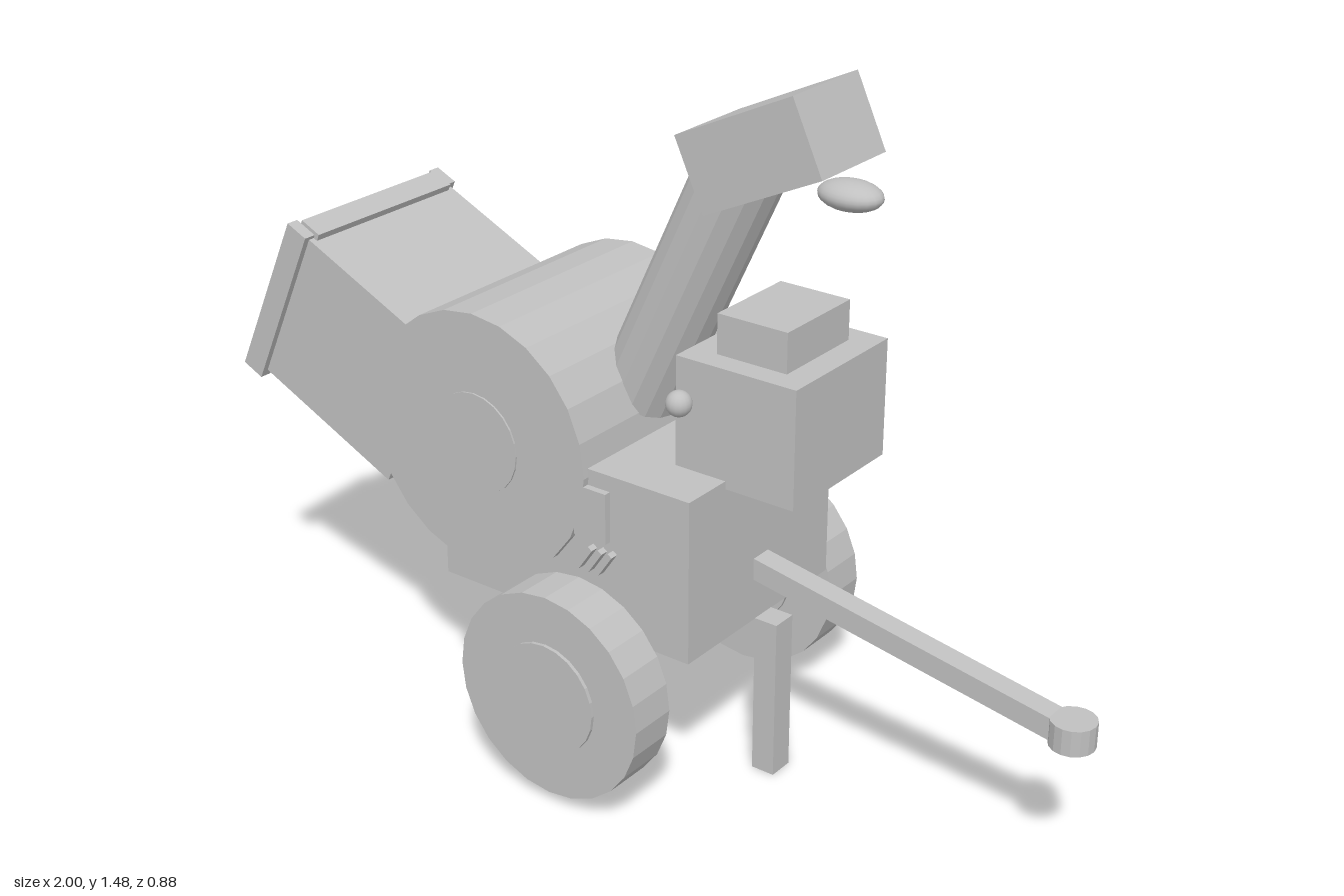
import * as THREE from 'three';

export function createModel() {
  const grey = new THREE.MeshStandardMaterial({ color: 0xc0c0c0 });
  grey.name = 'plain grey';
  const model = new THREE.Group();
  model.name = 'woodChipper';
  const V = -0.01; // centre plane of the machine
  const TILT = THREE.MathUtils.degToRad(25);

  const add = (name, geometry, pos, parent = model) => {
    const mesh = new THREE.Mesh(geometry, grey);
    mesh.name = name;
    mesh.position.set(...pos);
    parent.add(mesh);
    return mesh;
  };
  // box given by its lower and upper corners
  const box = (name, a, b, parent) => add(name,
    new THREE.BoxGeometry(b[0] - a[0], b[1] - a[1], b[2] - a[2]),
    [0, 1, 2].map(i => (a[i] + b[i]) / 2), parent);
  // faceted cylinder; axle = true lays it across the machine
  const cylinder = (name, r, h, pos, axle, sides = 24) => {
    const g = new THREE.CylinderGeometry(r, r, h, sides).toNonIndexed();
    g.computeVertexNormals();
    if (axle) g.rotateX(Math.PI / 2);
    return add(name, g, pos);
  };

  // body and chipping drum
  box('body', [-0.38, 0.34, V - 0.245], [0.253, 0.695, V + 0.245]);
  cylinder('drum', 0.282, 0.52, [-0.275, 0.677, V], true);
  cylinder('drumHub', 0.11, 0.528, [-0.275, 0.677, V], true);

  // wheels
  for (const side of [-1, 1]) {
    cylinder('wheel', 0.225, 0.107, [0.014, 0.25, V + side * 0.341], true);
    cylinder('wheelHub', 0.12, 0.122, [0.014, 0.25, V + side * 0.341], true);
  }

  // engine with its cap and knob
  box('engine', [0.132, 0.678, -0.202], [0.412, 0.93, 0.117]);
  box('engineCap', [0.192, 0.93, -0.149], [0.355, 1.015, 0.065]);
  add('knob', new THREE.SphereGeometry(0.027, 16, 12), [0.153, 0.84, 0.135]);

  // discharge chute, hood and deflector handle
  const low = new THREE.Vector2(-0.05, 0.767), high = new THREE.Vector2(0.2, 1.3);
  const chute = cylinder('chute', 0.088, low.distanceTo(high),
    [(low.x + high.x) / 2, (low.y + high.y) / 2, V], false, 16);
  chute.rotation.z = -Math.atan2(high.x - low.x, high.y - low.y);
  const hood = add('hood', new THREE.BoxGeometry(0.29, 0.16, 0.213), [0.276, 1.351, V]);
  hood.rotation.z = TILT;
  const handle = add('deflectorHandle', new THREE.SphereGeometry(1, 20, 14), [0.439, 1.286, -0.004]);
  handle.scale.set(0.067, 0.029, 0.048);

  // tilted feed hopper with raised rim bars
  const hopper = new THREE.Group();
  hopper.name = 'feedHopper';
  hopper.position.set(-0.665, 0.742, V);
  hopper.rotation.z = -TILT;
  model.add(hopper);
  box('hopperBox', [-0.2, -0.187, -0.22], [0.195, 0.187, 0.22], hopper);
  box('hopperPanel', [-0.206, -0.165, -0.175], [-0.199, 0.15, 0.175], hopper);
  for (const side of [-1, 1]) {
    const z = side * 0.22;
    box('rimSide', [-0.25, -0.203, z - 0.014], [-0.195, 0.195, z + 0.014], hopper);
  }
  box('rimTop', [-0.238, 0.17, -0.206], [-0.185, 0.203, 0.206], hopper);

  // tow bar, hitch and support leg
  const start = new THREE.Vector2(0.24, 0.46), end = new THREE.Vector2(0.955, 0.336);
  const bar = add('towBar', new THREE.BoxGeometry(start.distanceTo(end), 0.047, 0.05),
    [(start.x + end.x) / 2, (start.y + end.y) / 2, V]);
  bar.rotation.z = Math.atan2(end.y - start.y, end.x - start.x);
  cylinder('hitch', 0.046, 0.055, [0.968, 0.337, V], false, 16);
  box('supportLeg', [0.267, 0, -0.03], [0.32, 0.355, 0.027]);

  // control box and short spring coils on the side
  box('controlBox', [-0.02, 0.55, 0.2], [0.06, 0.66, 0.25]);
  for (let i = 0; i < 3; i++) {
    const coil = add('springCoil', new THREE.BoxGeometry(0.012, 0.06, 0.03), [0.005 + i * 0.025, 0.505, 0.238]);
    coil.rotation.z = -0.6;
  }

  // the machine stands turned slightly toward the front
  model.rotation.y = -0.2164;
  const root = new THREE.Group();
  root.name = 'model';
  root.add(model);
  return root;
}
